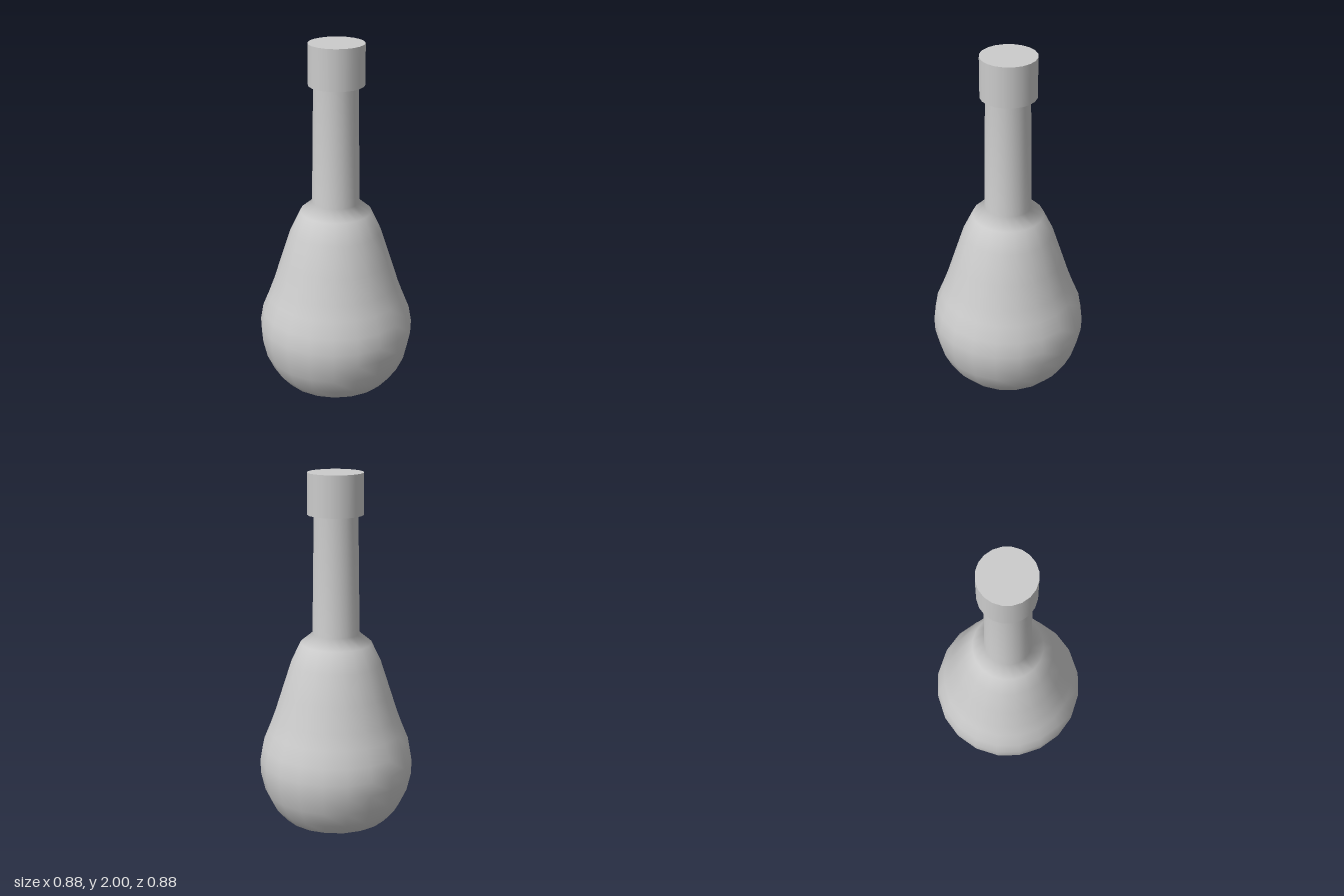
import * as THREE from 'three';

const SIDES = 20;

export function createModel() {
  const model = new THREE.Group();
  const material = new THREE.MeshStandardMaterial({ color: 0xcccccc, side: THREE.DoubleSide });

  // Bottle: hollowed base, round belly, tapering shoulder and slim neck
  const profile = [
    [0, 0.08], [0.08, 0.07], [0.17, 0.03], [0.225, 0.003], [0.255, 0.003],
    [0.31, 0.03], [0.37, 0.1], [0.412, 0.19], [0.435, 0.29], [0.438, 0.37],
    [0.422, 0.46], [0.385, 0.55], [0.355, 0.63], [0.31, 0.77], [0.255, 0.94],
    [0.2, 1.055], [0.133, 1.11], [0.122, 1.78],
  ].map(([r, y]) => new THREE.Vector2(r, y));
  const bottle = new THREE.Mesh(new THREE.LatheGeometry(profile, SIDES), material);
  bottle.name = 'bottle';
  model.add(bottle);

  // Cap: plain closed cylinder, seated very slightly off-centre
  const cap = new THREE.Mesh(new THREE.CylinderGeometry(0.154, 0.154, 0.226, SIDES), material);
  cap.name = 'cap';
  cap.position.set(0.005, 1.887, -0.001);
  model.add(cap);

  return model;
}
